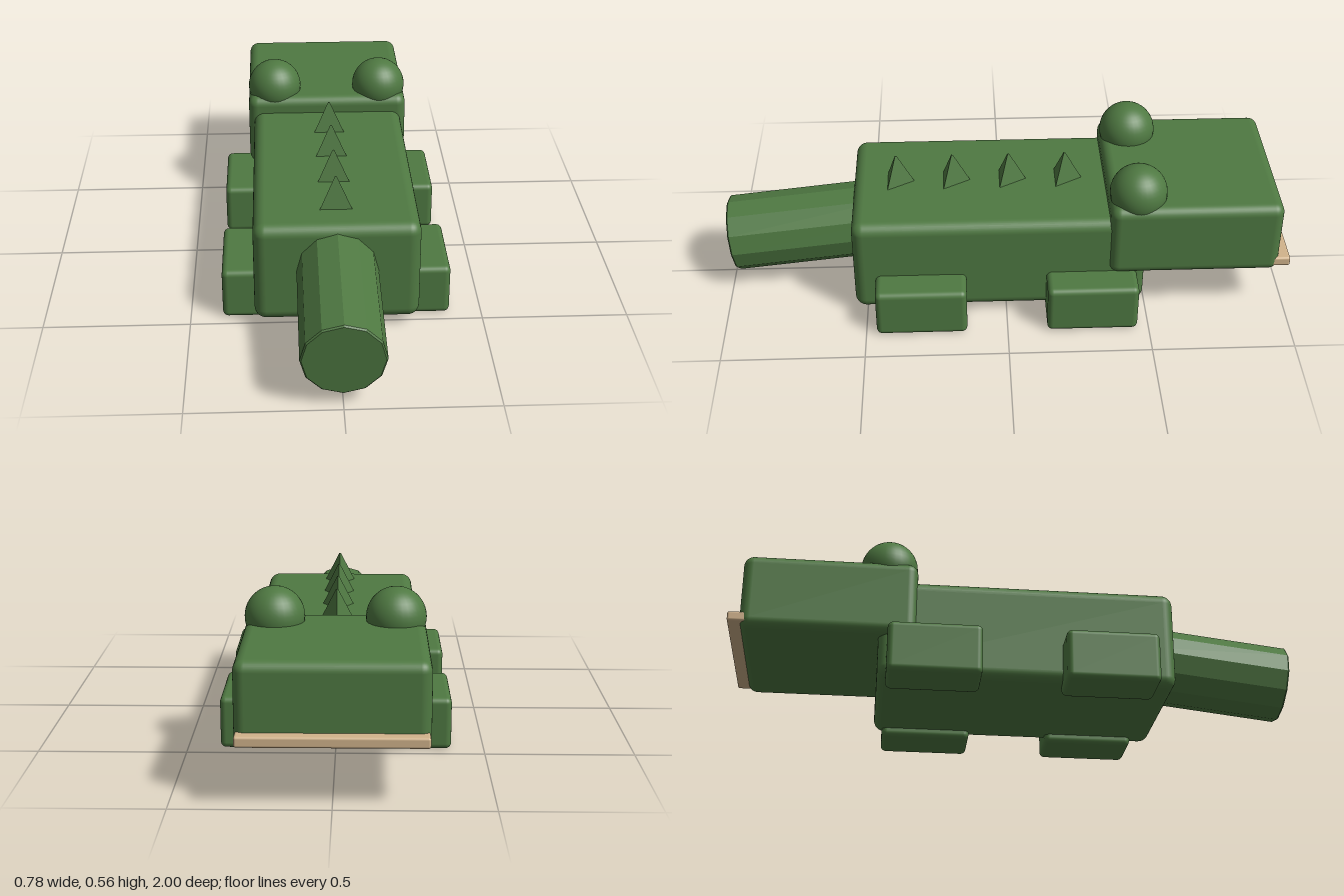
import * as THREE from 'three';
import { RoundedBoxGeometry } from 'three/addons/geometries/RoundedBoxGeometry.js';

const material = (name, color) => Object.assign(new THREE.MeshStandardMaterial({ color }), { name });

// Flat facets through split normals
function faceted(geometry) {
  const g = geometry.toNonIndexed();
  g.computeVertexNormals();
  return g;
}

export function createModel() {
  const group = new THREE.Group();
  const green = material('green skin', 0x4f7942);
  const ivory = material('ivory teeth', 0xd2b48c);

  const add = (name, geometry, mat, x, y, z) => {
    const mesh = new THREE.Mesh(geometry, mat);
    mesh.name = name;
    mesh.position.set(x, y, z);
    group.add(mesh);
    return mesh;
  };
  const roundedBox = (w, h, d, r) => new RoundedBoxGeometry(w, h, d, 4, r);

  // Body and head
  add('body', roundedBox(0.56, 0.36, 1.03, 0.04), green, 0, 0.21, 0.025);
  add('head', roundedBox(0.6, 0.275, 0.6, 0.035), green, 0, 0.313, -0.66);
  add('teeth', roundedBox(0.59, 0.035, 0.08, 0.008), ivory, 0, 0.213, -0.96);

  // Tail: twelve-sided with a thin bevel at the tip, sloping down
  const profile = [[0, -0.3], [0.132, -0.3], [0.137, -0.295], [0.137, 0.295], [0.132, 0.3], [0, 0.3]]
    .map(([r, y]) => new THREE.Vector2(r, y));
  const tail = add('tail', faceted(new THREE.LatheGeometry(profile, 12)), green, 0, 0.209, 0.689);
  tail.rotation.x = Math.PI / 2 + 0.113;

  // Eyes and legs, mirrored
  const eye = new THREE.SphereGeometry(0.1, 32, 20);
  const leg = roundedBox(0.18, 0.18, 0.32, 0.02);
  for (const [side, s] of [['left', 1], ['right', -1]]) {
    add(side + 'Eye', eye, green, s * 0.2, 0.465, -0.46);
    add(side + 'TailEndLeg', leg, green, s * 0.3, 0.09, 0.303);
    add(side + 'HeadEndLeg', leg, green, s * 0.3, 0.09, -0.3);
  }

  // Row of three-sided spikes along the back
  const spike = faceted(new THREE.CylinderGeometry(0.004, 0.069, 0.118, 3));
  for (let i = 0; i < 4; i++) {
    add('spike' + (i + 1), spike, green, 0, 0.439, 0.385 - i * 0.2).rotation.y = Math.PI;
  }
  return group;
}
